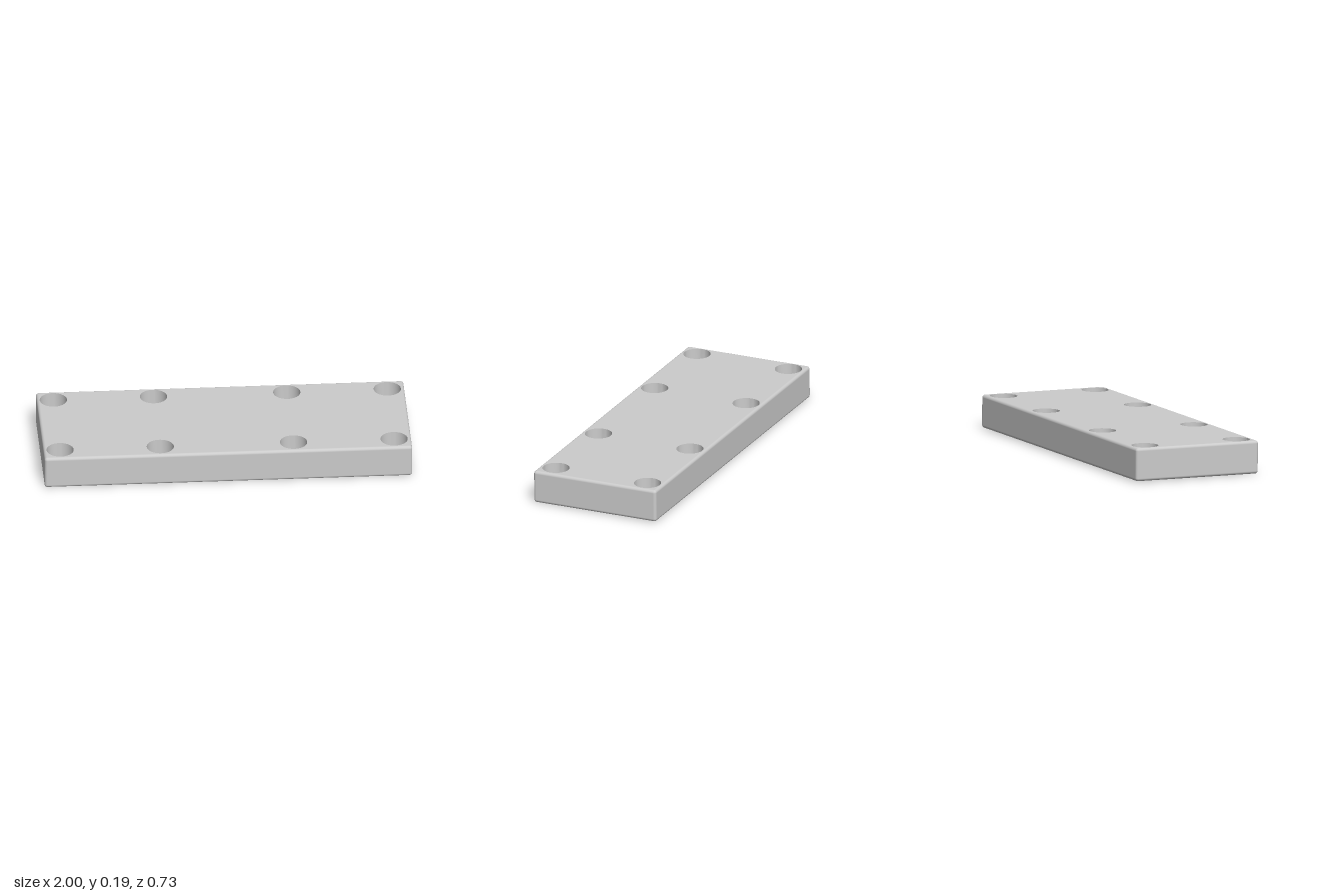
import * as THREE from 'three';
import { toCreasedNormals } from 'three/addons/utils/BufferGeometryUtils.js';

const HX = 1, HY = 0.091, HZ = 0.366; // half sizes of the plate
const R = 0.016;                      // edge rounding
const TILT = 0.0088;                  // plate leans slightly, back edge higher
const BORE = 0.074, HOLE = 0.04, RELIEF = 0.058;
const BORE_DEPTH = 0.1, RELIEF_DEPTH = 0.025;
const COLUMNS = [-0.91, -0.365, 0.36, 0.907], ROWS = [-0.275, 0.272];

const isInner = (x) => Math.abs(x) < 0.6;

// Rounded rim: a small sphere pulled apart into a box, without top and bottom faces
function rimGeometry(steps = 6) {
  const pos = [], nor = [], idx = [];
  const cols = 4 * (steps + 1), rows = 2 * (steps + 1);
  for (let j = 0; j < rows; j++) {
    const upper = j <= steps;
    const phi = (upper ? j : j - 1) / steps * Math.PI / 2;
    for (let c = 0; c < 4; c++) {
      const sx = c === 0 || c === 3 ? 1 : -1, sz = c < 2 ? 1 : -1;
      for (let i = 0; i <= steps; i++) {
        const a = (c + i / steps) * Math.PI / 2;
        const n = [Math.sin(phi) * Math.cos(a), Math.cos(phi), Math.sin(phi) * Math.sin(a)];
        nor.push(...n);
        pos.push(sx * (HX - R) + R * n[0], (upper ? 1 : -1) * (HY - R) + R * n[1], sz * (HZ - R) + R * n[2]);
      }
    }
  }
  for (let j = 0; j < rows - 1; j++) {
    for (let i = 0; i < cols; i++) {
      const k = (i + 1) % cols;
      const a = j * cols + i, b = j * cols + k, c = a + cols, d = b + cols;
      idx.push(a, b, c, b, d, c);
    }
  }
  const g = new THREE.BufferGeometry();
  g.setAttribute('position', new THREE.Float32BufferAttribute(pos, 3));
  g.setAttribute('normal', new THREE.Float32BufferAttribute(nor, 3));
  g.setIndex(idx);
  return g;
}

// Flat face with round openings; radiusAt gives the opening for each column
function faceGeometry(radiusAt, top) {
  const w = HX - R, d = HZ - R, s = top ? -1 : 1; // shape y maps to z = s * y
  const shape = new THREE.Shape([[-w, -d], [w, -d], [w, d], [-w, d]].map((p) => new THREE.Vector2(...p)));
  for (const x of COLUMNS) for (const z of ROWS) {
    shape.holes.push(new THREE.Path().absarc(x, s * z, radiusAt(x), 0, Math.PI * 2, true));
  }
  return new THREE.ShapeGeometry(shape, 24).rotateX(s * Math.PI / 2).translate(0, top ? HY : -HY, 0);
}

// Stepped inside wall of a screw hole
function holeGeometry(inner) {
  const floor = HY - BORE_DEPTH;
  const profile = [[BORE, HY], [BORE, floor], [HOLE, floor]];
  if (inner) profile.push([HOLE, -HY + RELIEF_DEPTH], [RELIEF, -HY + RELIEF_DEPTH], [RELIEF, -HY]);
  else profile.push([HOLE, -HY]);
  const lathe = new THREE.LatheGeometry(profile.map((p) => new THREE.Vector2(...p)), 48);
  return toCreasedNormals(lathe, 0.6);
}

export function createModel() {
  const material = new THREE.MeshStandardMaterial({ color: 0xcccccc, side: THREE.DoubleSide });
  const model = new THREE.Group();
  model.name = 'mountingPlate';
  const plate = new THREE.Group();
  plate.name = 'plate';
  const add = (name, geometry, x = 0, z = 0) => {
    const mesh = new THREE.Mesh(geometry, material);
    mesh.name = name;
    mesh.position.set(x, 0, z);
    plate.add(mesh);
  };

  add('roundedRim', rimGeometry());
  add('topFace', faceGeometry(() => BORE, true));
  add('bottomFace', faceGeometry((x) => (isInner(x) ? RELIEF : HOLE), false));

  // Four end holes and four inner holes with a relief underneath
  for (const x of COLUMNS) for (const z of ROWS) {
    add(isInner(x) ? 'innerScrewHole' : 'endScrewHole', holeGeometry(isInner(x)), x, z);
  }

  plate.rotation.x = TILT;
  plate.position.y = HY + (HZ - R) * Math.sin(TILT);
  model.add(plate);
  return model;
}
